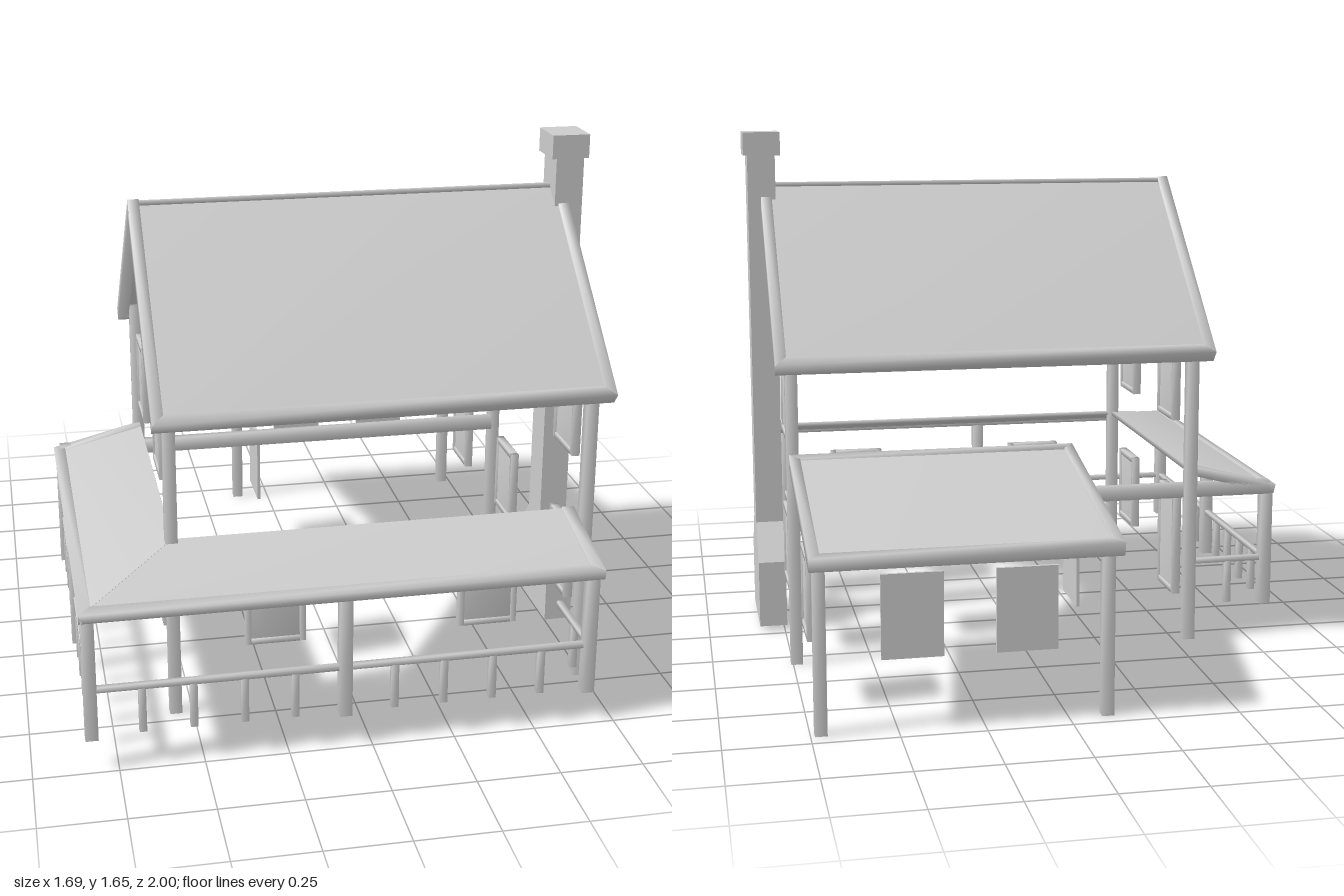
import * as THREE from 'three';
import { mergeVertices } from 'three/addons/utils/BufferGeometryUtils.js';

const V = (x, y, z) => new THREE.Vector3(x, y, z);

export function createModel() {
  const house = new THREE.Group();
  house.name = 'house';
  const grey = new THREE.MeshStandardMaterial({ color: 0xcccccc, side: THREE.DoubleSide });
  grey.name = 'plain grey';

  const add = (parent, name, geometry) => {
    const mesh = new THREE.Mesh(geometry, grey);
    mesh.name = name;
    parent.add(mesh);
    return mesh;
  };
  const group = (name, parent = house) => {
    const g = new THREE.Group();
    g.name = name;
    parent.add(g);
    return g;
  };

  // Box whose corners share their normals, for soft shading
  const softBox = (w, h, d) => {
    const g = new THREE.BoxGeometry(w, h, d);
    g.deleteAttribute('normal');
    g.deleteAttribute('uv');
    const merged = mergeVertices(g);
    merged.computeVertexNormals();
    return merged;
  };
  const box = (parent, name, x0, x1, y0, y1, z0, z1) => {
    const mesh = add(parent, name, softBox(x1 - x0, y1 - y0, z1 - z0));
    mesh.position.set((x0 + x1) / 2, (y0 + y1) / 2, (z0 + z1) / 2);
    return mesh;
  };
  const post = (parent, name, x, z, y0, y1, w) =>
    box(parent, name, x - w / 2, x + w / 2, y0, y1, z - w / 2, z + w / 2);

  // Slab between four top corners (anticlockwise from above) and a drop vector
  const slab = (top, drop) => {
    const pts = [...top, ...top.map((p) => p.clone().add(drop))];
    const index = [0, 1, 2, 0, 2, 3, 4, 6, 5, 4, 7, 6];
    for (let i = 0; i < 4; i++) {
      const j = (i + 1) % 4;
      index.push(i, i + 4, j, j, i + 4, j + 4);
    }
    const g = new THREE.BufferGeometry().setFromPoints(pts);
    g.setIndex(index);
    g.computeVertexNormals();
    return g;
  };

  // Sloping roof panel with a raised trim along the chosen edges
  const roof = (name, corners, trimmed, width, depth) => {
    const g = group(name);
    const e = corners.map((p, i) => corners[(i + 1) % 4].clone().sub(p).normalize());
    const up = e[0].clone().cross(e[1]).normalize();
    const n = e.map((v) => up.clone().cross(v));
    const d = [0, 1, 2, 3].map((i) => (trimmed.includes(i) ? width : 0));
    const inner = corners.map((p, i) => {
      const k = (i + 3) % 4;
      return p.clone()
        .addScaledVector(e[i], d[k] / e[i].dot(n[k]))
        .addScaledVector(e[k], d[i] / e[k].dot(n[i]));
    });
    const sunk = inner.map((p) => p.clone().addScaledVector(up, -0.006));
    add(g, 'roofPanel', slab(sunk, up.clone().multiplyScalar(-0.015)));
    for (const i of trimmed) {
      const j = (i + 1) % 4;
      add(g, 'roofTrim', slab([corners[i], corners[j], inner[j], inner[i]],
        up.clone().multiplyScalar(-depth)));
    }
  };

  // Main gabled roof
  roof('mainRoofFront', [V(-0.605, 0.97, 0.775), V(0.79, 0.97, 0.775),
    V(0.79, 1.493, 0.19), V(-0.605, 1.493, 0.19)], [0, 1, 3], 0.035, 0.045);
  roof('mainRoofBack', [V(0.79, 0.97, -0.395), V(-0.605, 0.97, -0.395),
    V(-0.605, 1.493, 0.19), V(0.79, 1.493, 0.19)], [0, 1, 3], 0.035, 0.045);

  // Wrap-around porch roof with a mitred corner
  roof('porchRoofFront', [V(-0.85, 0.505, 1), V(0.7, 0.505, 1),
    V(0.7, 0.582, 0.69), V(-0.55, 0.582, 0.69)], [0, 1], 0.038, 0.03);
  roof('porchRoofLeft', [V(-0.85, 0.505, -0.3), V(-0.85, 0.505, 1),
    V(-0.55, 0.582, 0.69), V(-0.55, 0.582, -0.3)], [0, 3], 0.038, 0.03);

  // Lean-to roof at the back
  roof('annexRoof', [V(0.75, 0.532, -1), V(-0.15, 0.532, -1),
    V(-0.15, 0.68, -0.33), V(0.75, 0.68, -0.33)], [0, 1, 2, 3], 0.032, 0.042);

  // Corner posts of the house and the annex
  const frame = group('cornerPosts');
  for (const x of [-0.552, 0.738])
    for (const z of [0.693, -0.31]) post(frame, 'cornerPost', x, z, 0, 1.0, 0.037);
  for (const x of [-0.115, 0.72]) post(frame, 'annexPost', x, -0.935, 0, 0.52, 0.036);
  box(frame, 'backBeam', -0.83, 0.72, 0.475, 0.52, -0.3, -0.265);

  // Porch posts
  const porch = group('porch');
  const F = 0.965, L = -0.825, R = 0.67, B = -0.27;
  for (const [x, z] of [[L, F], [-0.078, F], [R, F], [L, 0.36], [L, B]])
    post(porch, 'porchPost', x, z, 0.095, 0.485, 0.038);

  // Railings with evenly spaced balusters
  const railing = (x0, z0, x1, z1, count) => {
    const g = group('railing', porch);
    const t = 0.009;
    box(g, 'handrail', Math.min(x0, x1) - t, Math.max(x0, x1) + t, 0.243, 0.26,
      Math.min(z0, z1) - t, Math.max(z0, z1) + t);
    for (let i = 1; i <= count; i++) {
      const s = i / (count + 1);
      post(g, 'baluster', x0 + (x1 - x0) * s, z0 + (z1 - z0) * s, 0.105, 0.245, 0.022);
    }
  };
  railing(L, F, -0.078, F, 4);
  railing(-0.078, F, R, F, 4);
  railing(L, F, L, 0.36, 4);
  railing(L, 0.36, L, B, 4);
  railing(R, F, R, 0.7, 1);
  railing(L, B, -0.57, B, 1);

  // Framed windows, turned to face sideways where needed
  const opening = (name, x, z, y0, y1, sideways) => {
    const g = group(name);
    const w = 0.093, h = (y1 - y0) / 2, b = 0.018, t = 0.013;
    box(g, 'pane', -w + b, w - b, -h + b, h - b, -0.008, 0.008);
    for (const s of [-1, 1]) {
      const cx = s * (w - b / 2), cy = s * (h - b / 2);
      box(g, 'frameSide', cx - b / 2, cx + b / 2, -h, h, -t, t);
      box(g, 'frameRail', -w + b, w - b, cy - b / 2, cy + b / 2, -t, t);
    }
    g.position.set(x, (y0 + y1) / 2, z);
    if (sideways) g.rotation.y = Math.PI / 2;
  };
  for (const [x, zs] of [[0.738, [0.487, -0.12]], [-0.552, [0.438, -0.05]]])
    for (const z of zs) opening('upperWindow', x, z, 0.702, 0.957, true);
  for (const [x, z] of [[0.738, 0.487], [0.738, -0.12], [-0.552, 0.438], [0.725, -0.648]])
    opening('lowerWindow', x, z, 0.21, 0.465, true);
  for (const x of [-0.24, 0.43]) opening('frontWindow', x, 0.693, 0.21, 0.465, false);
  opening('sideDoor', -0.552, -0.08, 0.11, 0.465, true);

  // Plain shutters on the annex
  const shutter = (x, z, w, d) => {
    add(house, 'annexShutter', new THREE.BoxGeometry(w, 0.25, d)).position.set(x, 0.338, z);
  };
  shutter(-0.115, -0.478, 0.01, 0.18);
  shutter(0.125, -0.945, 0.18, 0.01);
  shutter(0.457, -0.945, 0.18, 0.01);

  // Chimney with a wide hearth and a cap, drawn from its side
  const half = [[0.157, 0.015], [0.157, 0.235], [0.06, 0.35], [0.06, 1.59]];
  const outline = [...half, ...half.map(([a, y]) => [-a, y]).reverse()];
  const stack = add(house, 'chimney', new THREE.ExtrudeGeometry(
    new THREE.Shape(outline.map(([a, y]) => new THREE.Vector2(a, y))),
    { depth: 0.09, bevelEnabled: false }));
  stack.rotation.y = Math.PI / 2;
  stack.position.set(0.742, 0, 0.195);
  add(house, 'chimneyCap', new THREE.BoxGeometry(0.12, 0.075, 0.136))
    .position.set(0.785, 1.617, 0.195);

  return house;
}
